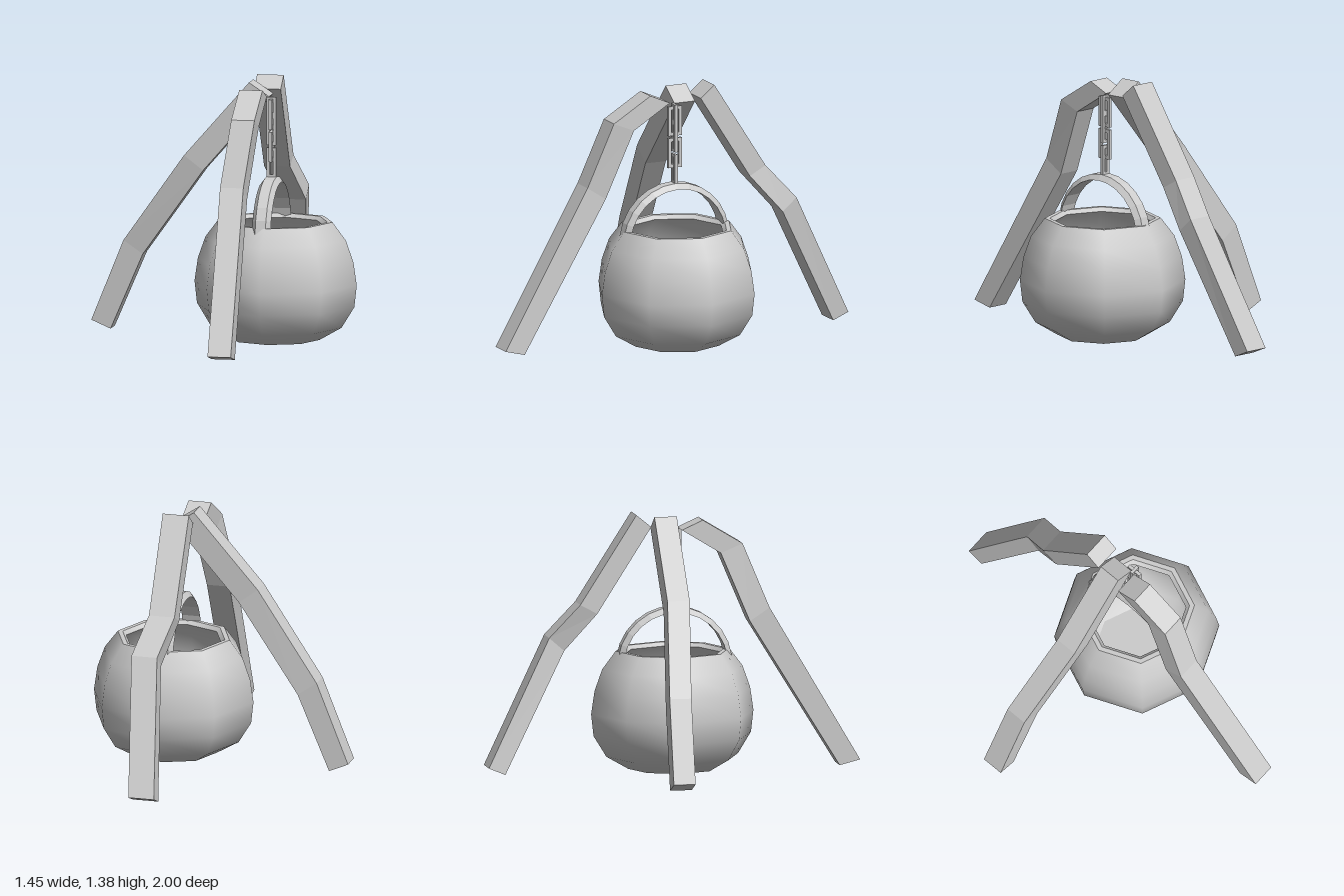
import * as THREE from 'three';
import { mergeGeometries } from 'three/addons/utils/BufferGeometryUtils.js';

const material = new THREE.MeshStandardMaterial({ color: 0xcccccc });
const thinMaterial = new THREE.MeshStandardMaterial({ color: 0xcccccc, side: THREE.DoubleSide });

function addMesh(parent, name, geometry, mat = material) {
  const mesh = new THREE.Mesh(geometry, mat);
  mesh.name = name;
  parent.add(mesh);
  return mesh;
}

// Flat-faced beam through four-cornered sections, local +x pointing outward.
// Section: outer edge (x, y), inner edge (x, y), sideways centre, outer and inner width.
function beam(sections) {
  const rings = sections.map(([ox, oy, ix, iy, s, wo, wi = wo]) => [
    [ox, oy, s + wo / 2], [ox, oy, s - wo / 2],
    [ix, iy, s - wi / 2], [ix, iy, s + wi / 2],
  ]);
  const positions = [];
  const quad = (a, b, c, d) => positions.push(...a, ...b, ...c, ...a, ...c, ...d);
  for (let i = 0; i < rings.length - 1; i++) {
    const lower = rings[i], upper = rings[i + 1];
    for (let k = 0; k < 4; k++) {
      const n = (k + 1) % 4;
      quad(lower[k], lower[n], upper[n], upper[k]);
    }
  }
  const first = rings[0], last = rings[rings.length - 1];
  quad(first[3], first[2], first[1], first[0]);
  quad(last[0], last[1], last[2], last[3]);
  const geometry = new THREE.BufferGeometry();
  geometry.setAttribute('position', new THREE.Float32BufferAttribute(positions, 3));
  geometry.computeVertexNormals();
  return geometry;
}

// Eight-sided pot, its profile pieces kept apart so the edges stay sharp
function potGeometry() {
  const pieces = [
    [[0, 0], [0.237, 0]],
    [[0.237, 0], [0.355, 0.068], [0.424, 0.18], [0.437, 0.297], [0.419, 0.42], [0.378, 0.535], [0.306, 0.63]],
    [[0.306, 0.63], [0.28, 0.63]],
    [[0.28, 0.63], [0.26, 0.61]],
    [[0.26, 0.61], [0.34, 0.52], [0.385, 0.41], [0.4, 0.297], [0.385, 0.19], [0.33, 0.095], [0.225, 0.035]],
    [[0.225, 0.035], [0, 0.035]],
  ];
  return mergeGeometries(pieces.map((points) =>
    new THREE.LatheGeometry(points.map(([r, y]) => new THREE.Vector2(r, y)), 8)));
}

// Rectangular chain link, standing in the xy plane
function linkGeometry(width, height, bar) {
  const rectangle = (w, h, Type) => new Type([
    new THREE.Vector2(-w / 2, -h / 2), new THREE.Vector2(w / 2, -h / 2),
    new THREE.Vector2(w / 2, h / 2), new THREE.Vector2(-w / 2, h / 2),
  ]);
  const shape = rectangle(width, height, THREE.Shape);
  shape.holes.push(rectangle(width - 2 * bar, height - 2 * bar, THREE.Path));
  const geometry = new THREE.ExtrudeGeometry(shape, { depth: bar, bevelEnabled: false });
  geometry.translate(0, 0, -bar / 2);
  return geometry;
}

export function createModel() {
  const group = new THREE.Group();
  group.name = 'potOnTripod';

  // Three bent legs, each from foot to top
  const frontLeg = addMesh(group, 'frontLeg', beam([
    [1.0, 0.04, 0.89, 0.012, -0.178, 0.125],
    [0.506, 0.87, 0.4, 0.8, -0.146, 0.125],
    [0.367, 1.212, 0.25, 1.163, -0.178, 0.125],
    [0.153, 1.342, 0.04, 1.292, -0.178, 0.125],
  ]));
  frontLeg.rotation.y = -Math.PI / 2;

  const backLeg = addMesh(group, 'backLeg', beam([
    [1.0, 0.05, 0.912, 0.013, 0.18, 0.14],
    [0.66, 0.725, 0.58, 0.655, 0.257, 0.14],
    [0.503, 0.905, 0.412, 0.855, 0.205, 0.14],
    [0.2, 1.375, 0.12, 1.31, 0.212, 0.143],
  ]));
  backLeg.rotation.y = Math.PI / 2;

  const rightLeg = addMesh(group, 'rightLeg', beam([
    [0.724, 0.06, 0.62, 0.015, 0.113, 0.117],
    [0.548, 0.492, 0.444, 0.42, 0.1, 0.117],
    [0.21, 0.963, 0.107, 0.885, 0.043, 0.12],
    [-0.14, 1.362, -0.248, 1.29, 0.043, 0.12],
  ]));
  rightLeg.rotation.y = Math.PI;

  // Pot
  const pot = addMesh(group, 'pot', potGeometry(), thinMaterial);
  pot.position.set(0.285, 0, 0.022);

  // Arched handle with sloping sides
  const arch = [];
  for (let i = 0; i <= 12; i++) {
    const a = THREE.MathUtils.degToRad(8 + (164 * i) / 12);
    const c = Math.cos(a), s = Math.sin(a);
    arch.push([0.309 * c, 0.556 + 0.309 * s, 0.28 * c, 0.556 + 0.28 * s, 0, 0.055, 0.1]);
  }
  const handle = addMesh(group, 'handle', beam(arch));
  handle.rotation.y = -Math.PI / 2;
  handle.position.set(0.264, 0, 0.027);

  // Chain of interlocking links, every other one turned a quarter
  const chain = new THREE.Group();
  chain.name = 'chain';
  chain.position.set(0.264, 0, 0.025);
  group.add(chain);
  [1.24, 1.2, 1.113, 1.027, 0.94].forEach((y, i) => {
    const across = i % 2 === 0;
    const link = addMesh(chain, 'chainLink' + (i + 1),
      across ? linkGeometry(0.05, i ? 0.16 : 0.1, 0.016) : linkGeometry(0.08, 0.16, 0.018));
    link.position.y = y;
    if (!across) link.rotation.y = Math.PI / 2;
  });

  return group;
}
